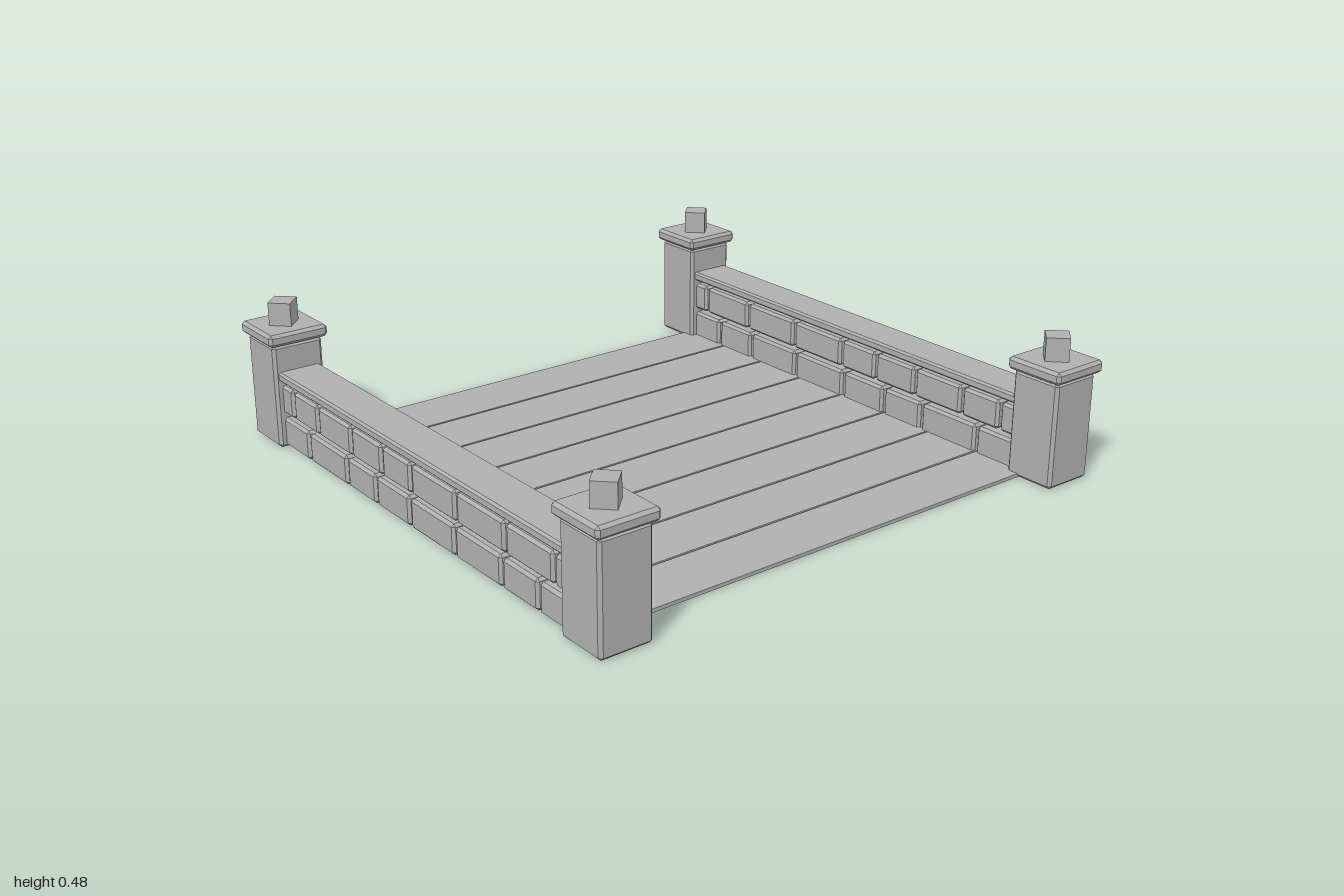
import * as THREE from 'three';
import { ConvexGeometry } from 'three/addons/geometries/ConvexGeometry.js';

const stone = new THREE.MeshStandardMaterial({ color: 0xb0b0b0 });
stone.name = 'grey stone';

// Box with 45 degree chamfers of width c on every edge
function chamferBox(w, h, d, c) {
  const points = [];
  for (const x of [-1, 1]) for (const y of [-1, 1]) for (const z of [-1, 1]) {
    for (let axis = 0; axis < 3; axis++) {
      const inset = [c, c, c];
      inset[axis] = 0;
      points.push(new THREE.Vector3(
        x * (w / 2 - inset[0]), y * (h / 2 - inset[1]), z * (d / 2 - inset[2])));
    }
  }
  return new ConvexGeometry(points);
}

function add(parent, name, geometry, x, y, z) {
  const mesh = new THREE.Mesh(geometry, stone);
  mesh.name = name;
  mesh.position.set(x, y, z);
  parent.add(mesh);
  return mesh;
}

// Corner pillar: shaft, overhanging cap and a block turned by 45 degrees
function makePillar(x, z) {
  const pillar = new THREE.Group();
  pillar.name = 'pillar';
  pillar.position.set(x, 0, z);
  add(pillar, 'pillarShaft', chamferBox(0.178, 0.356, 0.178, 0.01), 0, 0.178, 0);
  add(pillar, 'pillarCap', chamferBox(0.21, 0.042, 0.21, 0.01), 0, 0.378, 0);
  const block = add(pillar, 'pillarFinial',
    new THREE.BoxGeometry(0.075, 0.08, 0.075), 0, 0.437, 0);
  block.rotation.y = Math.PI / 4;
  return pillar;
}

// Joint positions along each course of bricks
const courses = [
  { y: 0.054, joints: [-0.82, -0.642, -0.393, -0.213, -0.012, 0.238, 0.484, 0.666, 0.82] },
  { y: 0.168, joints: [-0.82, -0.735, -0.57, -0.356, -0.168, 0.002, 0.25, 0.505, 0.742, 0.82] },
];

// Open-jointed brick parapet with a coping and a pillar at each end
function makeParapet() {
  const parapet = new THREE.Group();
  parapet.name = 'parapet';
  const z = 0.872, gap = 0.01;
  for (const { y, joints } of courses) {
    for (let i = 0; i < joints.length - 1; i++) {
      const width = joints[i + 1] - joints[i] - gap;
      add(parapet, 'brick', chamferBox(width, 0.1, 0.13, 0.009),
        (joints[i] + joints[i + 1]) / 2, y, z);
    }
  }
  add(parapet, 'coping', chamferBox(1.64, 0.032, 0.15, 0.007), 0, 0.249, z);
  for (const side of [-1, 1]) parapet.add(makePillar(side * 0.893, z));
  return parapet;
}

export function createModel() {
  const bridge = new THREE.Group();
  bridge.name = 'bridgeSection';

  // Deck of eight long slabs
  const deck = new THREE.Group();
  deck.name = 'deck';
  for (let i = 0; i < 8; i++) {
    add(deck, 'deckSlab', new THREE.BoxGeometry(0.206, 0.012, 1.74),
      (i - 3.5) * 0.2135, 0.007, 0);
  }
  bridge.add(deck);

  // The back parapet is the front one turned half round
  for (const angle of [0, Math.PI]) {
    const parapet = makeParapet();
    parapet.rotation.y = angle;
    bridge.add(parapet);
  }
  return bridge;
}
